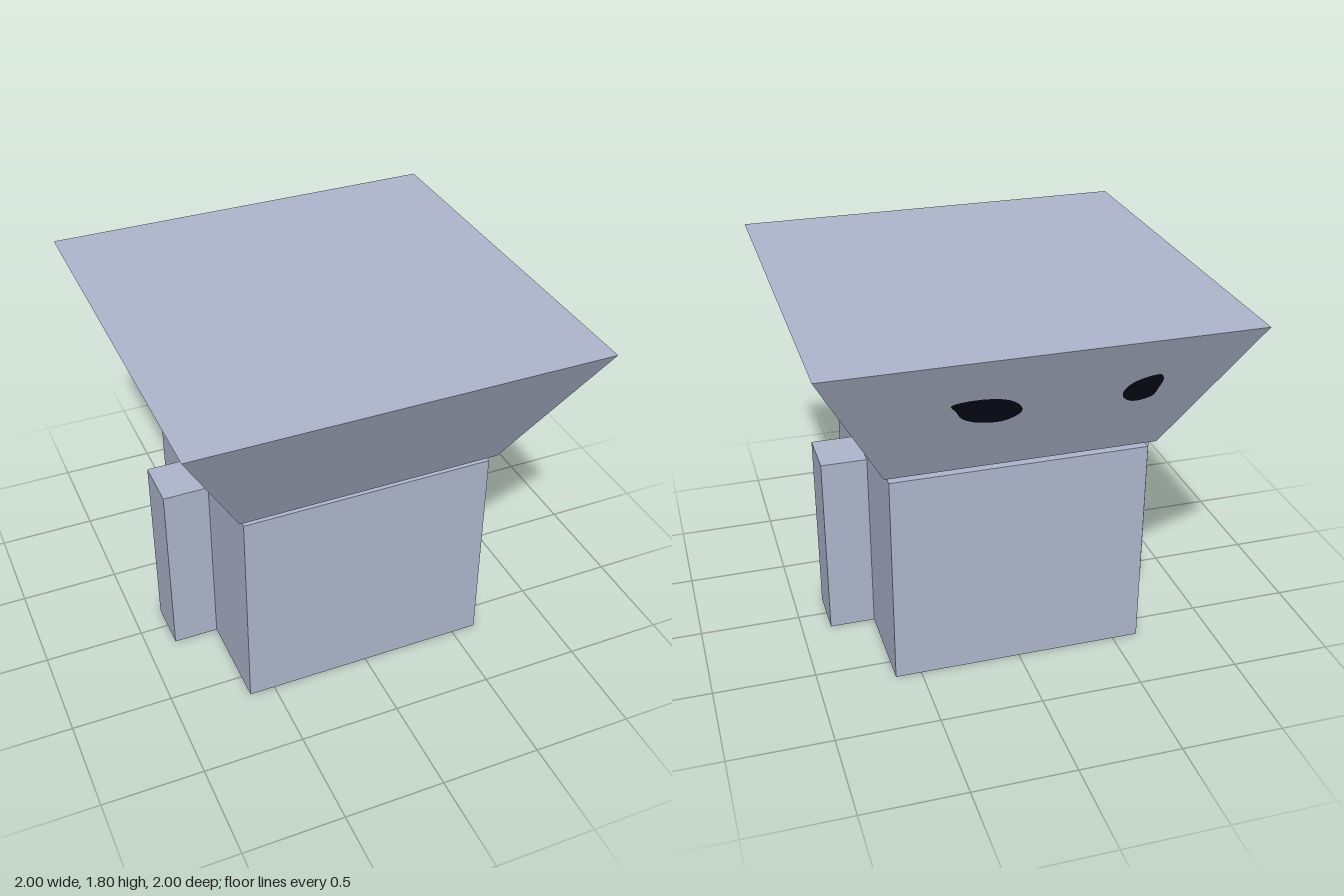
import * as THREE from 'three';

const bluegrey = new THREE.MeshStandardMaterial({ color: 0xadb5cb });
bluegrey.name = 'blue grey';
const nearBlack = new THREE.MeshStandardMaterial({ color: 0x0a0a1a });
nearBlack.name = 'near black';

const HEAD_TOP = 1.805, HEAD_H = 0.68, HEAD_BASE = 0.655;

function addMesh(group, name, geometry, material) {
  const mesh = new THREE.Mesh(geometry, material);
  mesh.name = name;
  group.add(mesh);
  return mesh;
}

// Box whose lower corners are drawn inwards
function headGeometry() {
  const geo = new THREE.BoxGeometry(2, HEAD_H, 2);
  const p = geo.attributes.position;
  for (let i = 0; i < p.count; i++) {
    if (p.getY(i) < 0) {
      p.setX(i, p.getX(i) * HEAD_BASE);
      p.setZ(i, p.getZ(i) * HEAD_BASE);
    }
  }
  geo.computeVertexNormals();
  return geo;
}

// Smooth flat blob lying on the sloped back of the head.
// Points are [x, t], t running from 0 at the head's top to 1 at its base.
function eyeGeometry(points) {
  const curve = new THREE.CatmullRomCurve3(points.map(([x, t]) => new THREE.Vector3(x, t, 0)), true);
  const outline = curve.getPoints(48).slice(0, -1).map((v) => new THREE.Vector2(v.x, v.y));
  const geo = new THREE.ShapeGeometry(new THREE.Shape(outline));
  const p = geo.attributes.position;
  for (let i = 0; i < p.count; i++) {
    const t = p.getY(i);
    p.setY(i, HEAD_TOP - HEAD_H * t - 0.002);
    p.setZ(i, -(1 - (1 - HEAD_BASE) * t) - 0.004);
  }
  geo.computeVertexNormals();
  return geo;
}

export function createModel() {
  const model = new THREE.Group();
  model.name = 'blockFigure';

  // Body
  addMesh(model, 'body', new THREE.BoxGeometry(1.255, 1.085, 1.255), bluegrey).position.set(0, 0.5425, 0.002);

  // Arms, standing against the sides of the body
  for (const [name, side] of [['leftArm', 1], ['rightArm', -1]]) {
    addMesh(model, name, new THREE.BoxGeometry(0.23, 0.945, 0.255), bluegrey)
      .position.set(side * 0.739, 0.4725, 0.002);
  }

  // Head, floating just above the body
  addMesh(model, 'head', headGeometry(), bluegrey).position.y = HEAD_TOP - HEAD_H / 2;

  // Uneven eyes on the back of the head
  addMesh(model, 'largeEye', eyeGeometry([
    [0.4, 0.35], [0.29, 0.325], [0.162, 0.352], [0.095, 0.41], [0.073, 0.488],
    [0.146, 0.554], [0.263, 0.54], [0.34, 0.486], [0.375, 0.41],
  ]), nearBlack).material.side = THREE.DoubleSide;
  addMesh(model, 'smallEye', eyeGeometry([
    [-0.439, 0.338], [-0.542, 0.303], [-0.565, 0.348], [-0.557, 0.428],
    [-0.537, 0.503], [-0.452, 0.53], [-0.396, 0.477], [-0.395, 0.401],
  ]), nearBlack);

  return model;
}
